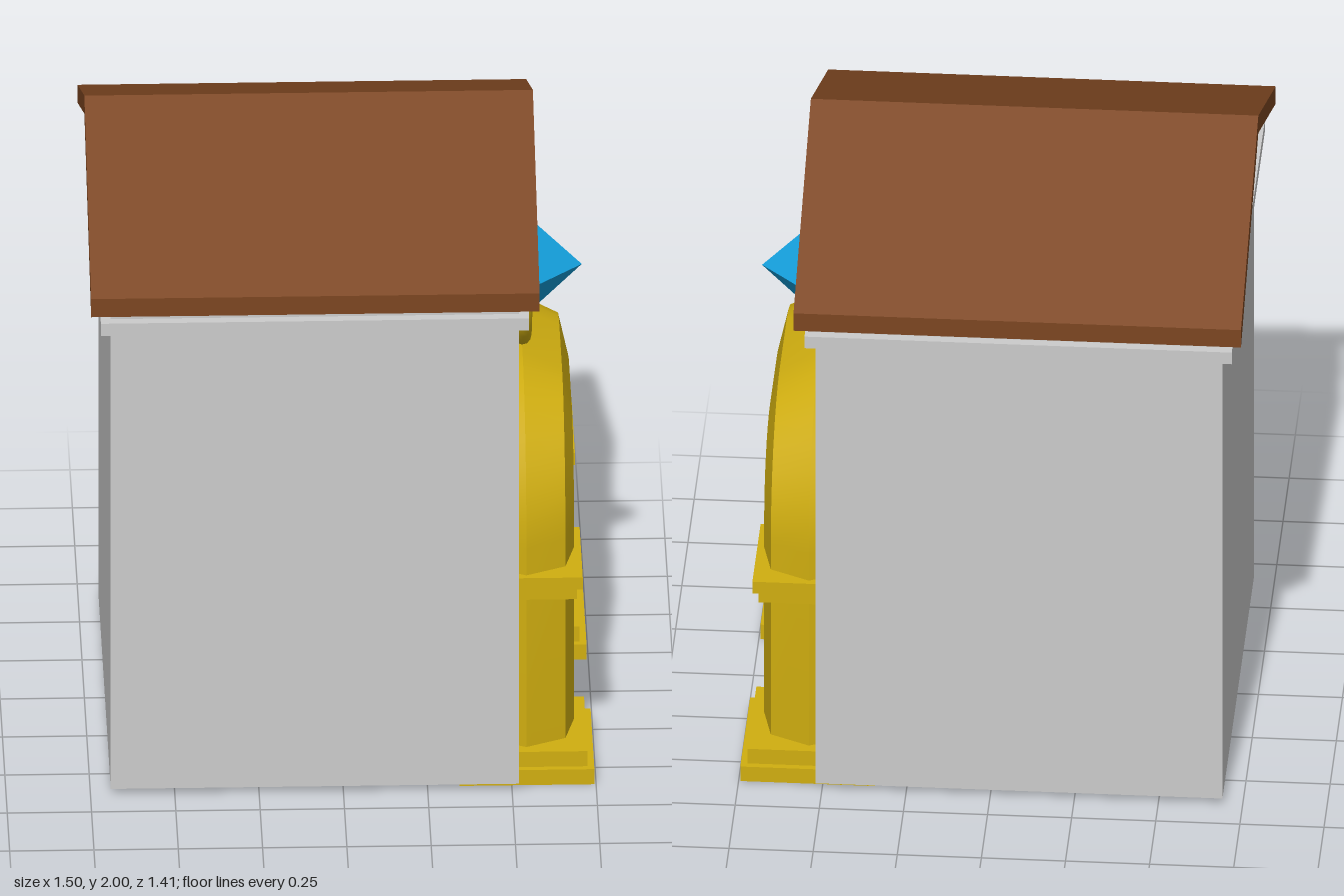
import * as THREE from 'three';
import { toCreasedNormals } from 'three/addons/utils/BufferGeometryUtils.js';

const mat = (color) => new THREE.MeshStandardMaterial({ color });
const grey = mat(0xcccccc), brown = mat(0x7c4621), gold = mat(0xd0ae10), blue = mat(0x14a0dd);

const WALL_X = 0.52;    // plane of the entrance wall
const PORTAL_X = 0.545; // centre plane of portal and ornament

export function createModel() {
  const model = new THREE.Group();
  model.name = 'shrine';

  function add(name, geometry, material, x = 0, y = 0, z = 0) {
    const mesh = new THREE.Mesh(geometry, material);
    mesh.name = name;
    mesh.position.set(x, y, z);
    model.add(mesh);
    return mesh;
  }

  // Extrudes a symmetric (z, y) outline along x
  function extrudeX(shape, x0, x1) {
    const g = new THREE.ExtrudeGeometry(shape, { depth: x1 - x0, bevelEnabled: false, curveSegments: 20 });
    return g.rotateY(Math.PI / 2).translate(x0, 0, 0);
  }
  const outline = (points) => new THREE.Shape(points.map(([z, y]) => new THREE.Vector2(z, y)));

  // Gabled body, cornice and roof
  add('walls', extrudeX(outline([[-0.64, 0.02], [0.64, 0.02], [0.64, 1.64], [0, 1.94], [-0.64, 1.64]]), -0.69, WALL_X), grey);
  add('cornice', new THREE.BoxGeometry(1.27, 0.04, 1.34), grey, -0.085, 1.56, 0);
  add('roof', extrudeX(outline([[0.705, 1.62], [0.705, 1.68], [0, 2], [-0.705, 1.68], [-0.705, 1.62], [0, 1.94]]), -0.75, 0.58), brown);

  // Arched door
  const door = new THREE.Shape();
  door.moveTo(-0.195, 0.02);
  door.lineTo(0.195, 0.02);
  door.lineTo(0.195, 0.635);
  door.absarc(0, 0.635, 0.195, 0, Math.PI, false);
  door.lineTo(-0.195, 0.02);
  add('door', extrudeX(door, WALL_X - 0.02, WALL_X + 0.01), brown);

  // Portal: seven-sided section swept up one post, over the arch and down the other
  add('portalArch', portalGeometry(), gold, PORTAL_X);

  // Stepped bases and capitals: name, width, bottom, top
  const steps = [
    ['basePlinth', 0.40, 0, 0.05],
    ['baseStep', 0.36, 0.05, 0.10],
    ['capitalLower', 0.30, 0.59, 0.63],
    ['capitalUpper', 0.333, 0.63, 0.67],
  ];
  for (const [side, s] of [['Right', 1], ['Left', -1]]) {
    for (const [name, w, y0, y1] of steps) {
      add(name + side, new THREE.BoxGeometry(w, y1 - y0, w), gold, PORTAL_X, (y0 + y1) / 2, s * 0.41);
    }
  }

  // Crescent cradle, with closed tips, and crystal
  const cradle = new THREE.TorusGeometry(0.232, 0.027, 12, 32, Math.PI);
  add('crescent', cradle.rotateZ(Math.PI).rotateY(Math.PI / 2), gold, PORTAL_X, 1.445, 0);
  for (const s of [1, -1]) {
    add('crescentTip', new THREE.CircleGeometry(0.027, 12).rotateX(-Math.PI / 2), gold, PORTAL_X, 1.445, s * 0.232);
  }
  add('crystal', new THREE.OctahedronGeometry(0.18), blue, PORTAL_X, 1.42, 0);

  return model;
}

function portalGeometry() {
  const sides = 7, radius = 0.15, seg = 8;
  const cz = 0.14, cy = 0.76, a = 0.268, b = 0.295; // corner ellipse of the arch
  // Stations hold centre (z, y) and outward normal (nz, ny)
  const half = [[0.408, 0.04, 1, 0]];
  for (let i = 0; i <= seg; i++) {
    const t = (i / seg) * Math.PI / 2;
    const n = new THREE.Vector2(Math.cos(t) / a, Math.sin(t) / b).normalize();
    half.push([cz + a * Math.cos(t), cy + b * Math.sin(t), n.x, n.y]);
  }
  const path = [...half, ...half.map(([z, y, nz, ny]) => [-z, y, -nz, ny]).reverse()];

  const pos = [], index = [];
  path.forEach(([z, y, nz, ny], i) => {
    for (let j = 0; j < sides; j++) {
      const t = (j / sides) * Math.PI * 2, r = radius * Math.cos(t);
      pos.push(radius * Math.sin(t), y + ny * r, z + nz * r);
      if (i === path.length - 1) continue;
      const p = i * sides + j, q = i * sides + (j + 1) % sides;
      index.push(p, q, q + sides, p, q + sides, p + sides);
    }
  });
  const g = new THREE.BufferGeometry();
  g.setAttribute('position', new THREE.Float32BufferAttribute(pos, 3));
  g.setIndex(index);
  return toCreasedNormals(g, 0.5);
}
